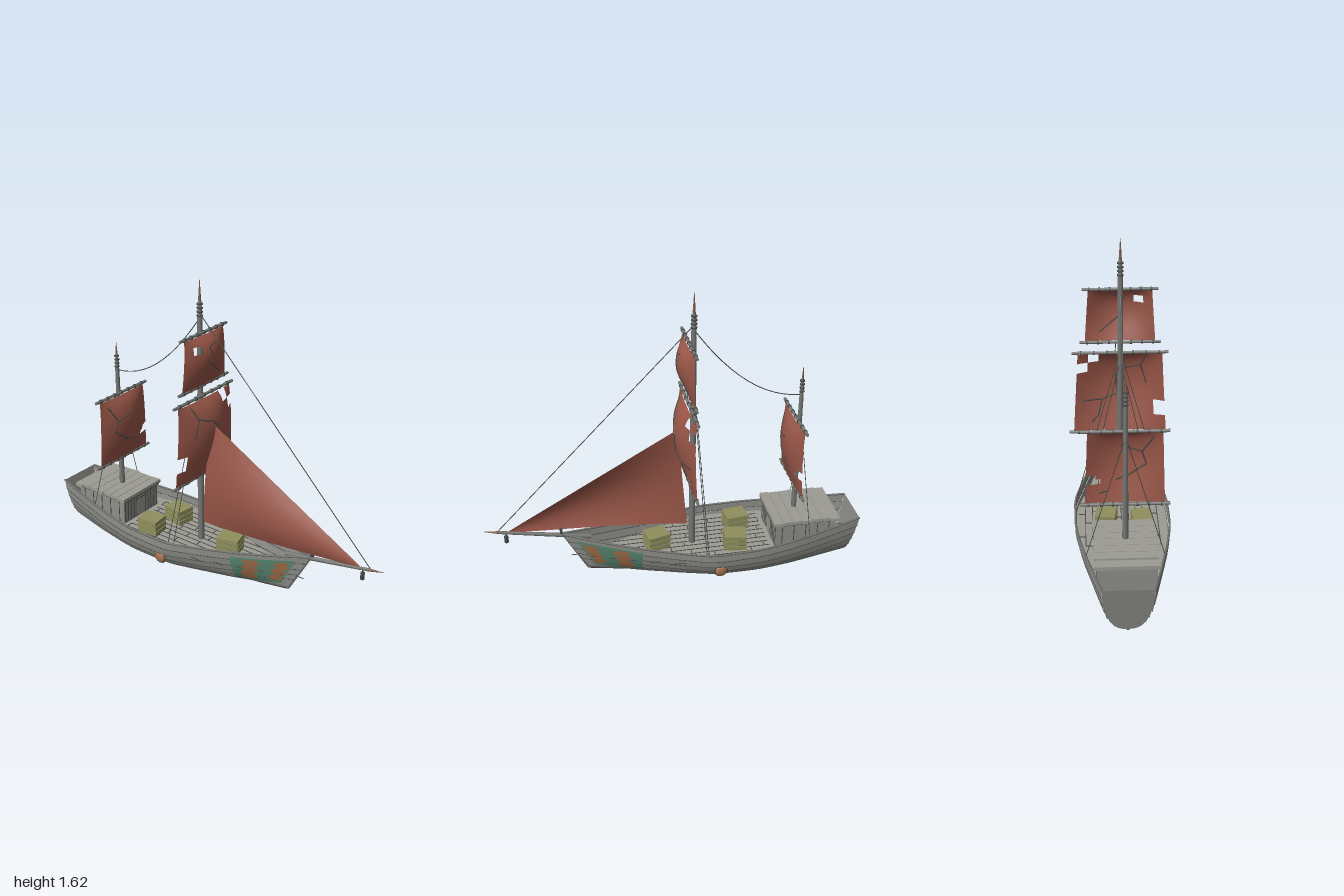
import * as THREE from 'three';
import { ParametricGeometry } from 'three/addons/geometries/ParametricGeometry.js';

const mat = (name, color, side = THREE.FrontSide) => {
  const m = new THREE.MeshStandardMaterial({ color, side });
  m.name = name;
  return m;
};
const V = (x, y, z) => new THREE.Vector3(x, y, z);
const lerp = THREE.MathUtils.lerp;

// Hull stations from stern to bow: half width, rail height, keel height
const stations = new THREE.CatmullRomCurve3([
  V(.12, .29, .032), V(.165, .268, .018), V(.207, .25, .011), V(.234, .239, .008), V(.236, .236, .009),
  V(.192, .245, .016), V(.135, .262, .03), V(.072, .288, .054), V(.006, .32, .085)]);
const sternZ = f => lerp(-1, -.95, f), bowZ = f => lerp(.6, .47, f);

// Point on the hull: u runs stern to bow, f runs rail to keel
function hull(u, f, out = 0) {
  const s = stations.getPoint(u);
  const full = Math.sqrt(Math.max(0, 1 - f * f)) ** lerp(.75, 1.15, u ** 3);
  return V((s.x + out) * full, lerp(s.y, s.z, f), lerp(sternZ(f), bowZ(f), u));
}
const uAt = (z, f) => THREE.MathUtils.clamp((z - sternZ(f)) / (bowZ(f) - sternZ(f)), 0, .965);

export function createModel() {
  const root = new THREE.Group();
  root.name = 'sailingShip';
  const D = THREE.DoubleSide;
  const hullGray = mat('weatheredHull', 0x8e8f89, D), deckGray = mat('deckPlanks', 0x9c9c94, D);
  const spar = mat('sparGray', 0x747672), dark = mat('darkTrim', 0x484a49, D);
  const canvas = mat('redCanvas', 0x995648, D), green = mat('greenPaint', 0x5d9078, D);
  const rust = mat('rustPaint', 0xa9734f, D), olive = mat('crateWood', 0x8f8f5e);
  const tipWood = mat('tipWood', 0x80614f);

  const add = (name, geo, m, parent = root) => {
    const mesh = new THREE.Mesh(geo, m);
    mesh.name = name;
    parent.add(mesh);
    return mesh;
  };
  const box = (name, w, h, d, x, y, z, m, parent) => {
    const b = add(name, new THREE.BoxGeometry(w, h, d), m, parent);
    b.position.set(x, y, z);
    return b;
  };
  const rod = (name, a, b, r0, r1, m, sides = 10) => {
    const c = add(name, new THREE.CylinderGeometry(r1, r0, a.distanceTo(b), sides), m);
    c.position.copy(a).lerp(b, .5);
    c.quaternion.setFromUnitVectors(V(0, 1, 0), b.clone().sub(a).normalize());
    return c;
  };
  const line = (name, pts, r, m = dark, sides = 5) => add(name,
    new THREE.TubeGeometry(new THREE.CatmullRomCurve3(pts, false, 'catmullrom', .1), pts.length * 3, r, sides), m);
  const surface = (name, fn, nu, nv, m) =>
    add(name, new ParametricGeometry((u, v, t) => t.copy(fn(u, v)), nu, nv), m);
  const along = (n, fn) => Array.from({ length: n + 1 }, (_, i) => fn(i / n));

  // Lapped hull strakes, seams, rails and painted bow panels
  for (const side of [-1, 1]) {
    const flip = p => p.setX(p.x * side);
    for (let i = 0; i < 8; i++) {
      const f0 = Math.sin(i / 8 * Math.PI / 2), f1 = Math.sin((i + 1) / 8 * Math.PI / 2);
      surface('hullStrake', (u, v) => flip(hull(u, f0).lerp(hull(u, f1, .004), v)), 40, 1, hullGray);
      if (i > 0 && i < 5) line('plankSeam', along(30, u => flip(hull(u, f0, .004))), .0018);
    }
    line('rail', along(30, u => flip(hull(u, 0))), .006, spar);
    const panel = (name, zA, zB, lean, f0, f1, out, jag, m) => surface(name, (a, v) => {
      const f = lerp(f0, f1, v), zig = jag * Math.sin(v * 19 + zA * 30);
      return flip(hull(uAt(lerp(zA, zB, a) - lean * v + zig, f), f, out));
    }, 8, 14, m);
    surface('greenBowPanel', (a, v) => {
      const f = lerp(.12, .87, v);
      return flip(hull(lerp(.965, uAt(.195, f), a), f, .006));
    }, 12, 14, green);
    panel('rustStripe', .5, .435, .06, .18, .78, .009, .012, rust);
    panel('rustStripe', .345, .27, .04, .16, .8, .009, .012, rust);

    // Round side boss
    const boss = add('sideBoss', new THREE.SphereGeometry(.034, 9, 6), rust);
    boss.scale.x = .4;
    boss.position.copy(flip(hull(uAt(-.21, .52), .52, .004)));
    const rim = add('bossRim', new THREE.TorusGeometry(.034, .004, 5, 12), dark);
    rim.rotation.y = Math.PI / 2;
    rim.position.copy(boss.position);
  }
  surface('transom', (a, v) => {
    const p = hull(0, Math.sin(v * Math.PI / 2));
    return p.setX(p.x * (2 * a - 1));
  }, 2, 14, hullGray);
  line('keel', along(20, u => hull(u, 1)), .007, dark);
  rod('stemPost', V(0, .325, .6), V(0, .085, .47), .008, .008, spar, 6);

  // Deck and plank seams
  const deckY = .175;
  const deckEdge = u => {
    const s = stations.getPoint(u);
    return hull(u, (s.y - deckY) / (s.y - s.z));
  };
  surface('deck', (u, a) => {
    const p = deckEdge(lerp(.035, .985, u));
    return p.setX(p.x * (2 * a - 1));
  }, 36, 2, deckGray);
  for (let i = -5; i <= 5; i++) {
    const x = i * .037, front = .56 - Math.abs(i) * .1;
    box('deckSeam', .004, .003, front + .5, x, deckY + .001, (front - .5) / 2, dark);
    for (let k = 0; k < 3; k++)
      box('plankJoint', .034, .003, .004, x + .018, deckY + .001, -.45 + k * .2 + (i & 1) * .09 - Math.abs(i) * .012, dark);
    if (Math.abs(i) < 4) box('sternSeam', .004, .003, .07, x * .9, deckY + .001, -.915, dark);
  }

  // Cabin with cross-planked roof
  const cabin = new THREE.Group();
  cabin.name = 'cabin';
  root.add(cabin);
  box('cabinWalls', .28, .14, .33, 0, .245, -.69, hullGray, cabin);
  for (let i = 0; i < 7; i++)
    box('roofPlank', i % 3 ? .3 : .31, .02, .05, 0, i < 6 ? .325 : .317, -.536 - i * .0525, deckGray, cabin);
  box('roofUnderside', .29, .008, .355, 0, .313, -.69, dark, cabin);
  for (const side of [-1, 1]) for (let i = 0; i < 5; i++) {
    box('wallSeam', .004, .13, .004, side * .14, .245, -.56 - i * .065, dark, cabin);
    box('frontSeam', .004, .13, .004, side * (.035 + i * .024), .245, -.525, dark, cabin);
  }
  box('doorLintel', .08, .006, .006, 0, .285, -.524, dark, cabin);
  box('door', .06, .1, .006, 0, .23, -.525, deckGray, cabin);

  // Slatted crates
  for (const [x, z, turn] of [[-.1, -.36, .1], [.08, -.315, -.15], [0, .1, .25]]) {
    const crate = new THREE.Group();
    crate.name = 'crate';
    crate.position.set(x, deckY, z);
    crate.rotation.y = turn;
    root.add(crate);
    box('crateCore', .09, .08, .11, 0, .042, 0, dark, crate);
    for (let i = 0; i < 3; i++) box('crateSlat', .1, .025, .12, 0, .014 + i * .03, 0, olive, crate);
  }

  // Masts with collars and pointed tips
  const mast = (z, base, top, tip, r) => {
    rod('mast', V(0, base, z), V(0, top, z), r, r * .75, spar);
    rod('mastSpike', V(0, top, z), V(0, lerp(top, tip, .5), z), r * .75, r * .42, spar);
    rod('mastTip', V(0, lerp(top, tip, .5), z), V(0, tip, z), r * .42, .001, tipWood);
    for (let i = 0; i < 4; i++) {
      const y = top + .015 + i * .02;
      rod('mastCollar', V(0, y, z), V(0, y + .006, z), r * .9, r * .9, dark);
    }
  };
  mast(-.095, deckY, 1.42, 1.62, .018);
  mast(-.66, .32, 1.02, 1.175, .015);

  // Square sails: bellied grids with missing cells [i0, i1, j0, j1], cracks and yards
  function squareSail({ name, z, top, bottom, wTop, wBot, belly, n, holes, cracks, yards }) {
    const at = (x, y) => {
      const t = (top - y) / (top - bottom), w = lerp(wTop, wBot, t);
      const bulge = .15 + .85 * Math.sin(Math.PI * t ** .7);
      return V(x, y, z + belly * bulge * Math.cos(x / w * 1.45));
    };
    const geo = new THREE.PlaneGeometry(2, 1, n, n), pos = geo.attributes.position;
    for (let k = 0; k < pos.count; k++) {
      const t = .5 - pos.getY(k);
      const p = at(pos.getX(k) * lerp(wTop, wBot, t), lerp(top, bottom, t));
      pos.setXYZ(k, p.x, p.y, p.z);
    }
    const src = geo.index.array, kept = [];
    for (let c = 0; c < n * n; c++) {
      const i = c % n, j = Math.floor(c / n);
      if (!holes.some(([a, b, d, e]) => i >= a && i < b && j >= d && j < e)) kept.push(...src.slice(c * 6, c * 6 + 6));
    }
    geo.setIndex(kept);
    geo.computeVertexNormals();
    add(name, geo, canvas);
    for (const crack of cracks) {
      const pts = [];
      crack.slice(1).forEach(([x, y], k) => {
        for (let s = 0; s < 4; s++) pts.push(at(lerp(crack[k][0], x, s / 4), lerp(crack[k][1], y, s / 4)));
      });
      pts.push(at(...crack[crack.length - 1]));
      line(name + 'Tear', pts, .004, dark, 4);
    }
    for (const [y, w] of yards) {
      rod('yard', V(-w, y, z), V(w, y, z), .008, .008, spar, 8);
      for (let i = -3; i <= 3; i++)
        rod('yardLashing', V(i * w * .27 - .004, y, z), V(i * w * .27 + .004, y, z), .011, .011, dark, 8);
    }
  }
  squareSail({
    name: 'mainSail', z: -.072, top: 1.015, bottom: .588, wTop: .21, wBot: .235, belly: .075, n: 16,
    holes: [[12, 14, 0, 2], [14, 16, 2, 4], [0, 2, 10, 13]],
    cracks: [[[-.13, 1], [-.105, .935], [-.135, .835]],
      [[-.105, .935], [-.015, .905], [.02, .87], [.01, .77], [.09, .745], [.185, .75]],
      [[.09, .745], [.11, .665], [.145, .63]]],
    yards: [[1.025, .24], [.582, .26]]
  });
  squareSail({
    name: 'topSail', z: -.072, top: 1.35, bottom: 1.088, wTop: .155, wBot: .173, belly: .062, n: 14,
    holes: [[2, 4, 2, 4]],
    cracks: [[[.03, 1.31], [-.02, 1.3], [-.005, 1.245], [-.01, 1.21], [.1, 1.13]]],
    yards: [[1.358, .185], [1.082, .2]]
  });
  squareSail({
    name: 'mizzenSail', z: -.638, top: .885, bottom: .515, wTop: .172, wBot: .186, belly: .06, n: 16,
    holes: [[14, 16, 10, 12], [13, 14, 11, 12]],
    cracks: [[[-.13, .85], [-.08, .76], [-.1, .7], [-.02, .64], [.04, .62]], [[-.08, .76], [.02, .79]], [[.08, .57], [.12, .56]]],
    yards: [[.893, .2], [.508, .21]]
  });

  // Triangular foresail bulging to one side
  const tack = V(0, .365, .89), head = V(0, .885, -.02), clew = V(0, .29, -.07);
  surface('foreSail', (u, v) => {
    const p = tack.clone().lerp(clew.clone().lerp(head, v), u);
    return p.setX(-.055 * Math.sin(Math.PI * u ** 1.3 * .85) * Math.sin(Math.PI * (.12 + .88 * v)));
  }, 20, 14, canvas);

  // Bowsprit with tip, hanging lantern and bow post
  rod('bowsprit', V(0, .285, .45), V(0, .372, .92), .013, .008, spar);
  rod('bowspritTip', V(0, .372, .92), V(0, .387, 1), .008, .001, tipWood);
  rod('lantern', V(0, .307, .89), V(0, .345, .89), .011, .011, dark, 8);
  rod('lanternHook', V(0, .345, .89), V(0, .37, .89), .003, .003, dark, 5);
  box('bowPost', .016, .03, .014, 0, .34, .605, dark);

  // Rigging
  rod('forestay', V(0, 1.45, -.095), V(0, .38, .93), .0025, .0025, dark, 5);
  line('mastStay', along(12, t => V(0, lerp(1.42, 1.02, t) - .4 * t * (1 - t), lerp(-.1, -.66, t))), .0025);
  for (const side of [-1, 1]) {
    rod('mainShroud', V(0, 1.05, -.105), V(side * .225, .24, -.14), .002, .002, dark, 5);
    rod('mainShroud', V(0, 1.0, -.105), V(side * .19, .18, -.14), .002, .002, dark, 5);
    rod('mizzenShroud', V(0, .88, -.665), V(side * .19, .25, -.7), .002, .002, dark, 5);
  }
  return root;
}
